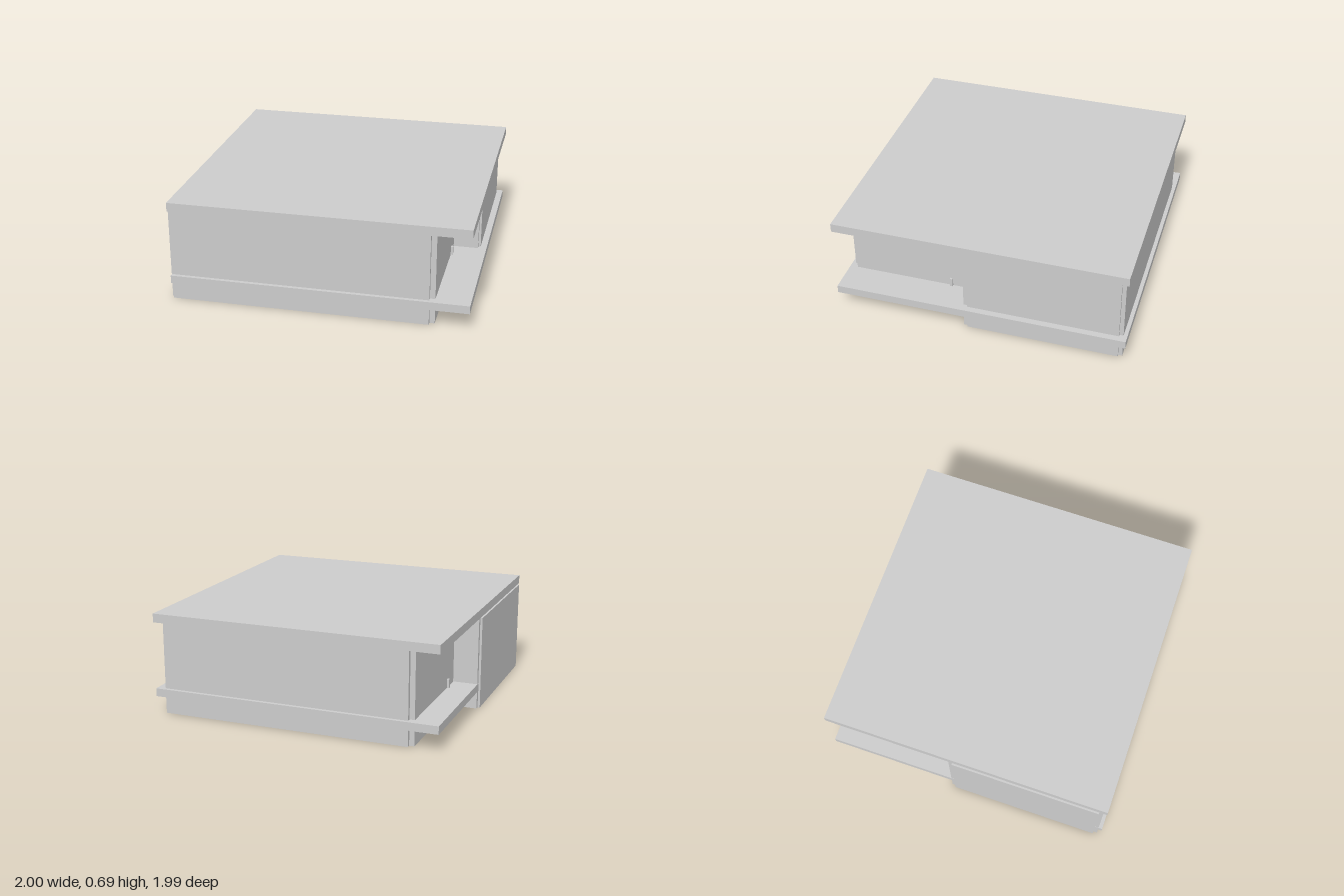
import * as THREE from 'three';

const material = new THREE.MeshStandardMaterial({ color: 0xcccccc, flatShading: true });

// Box given by its min and max on each axis
function block(name, x0, x1, y0, y1, z0, z1) {
  const mesh = new THREE.Mesh(new THREE.BoxGeometry(x1 - x0, y1 - y0, z1 - z0), material);
  mesh.position.set((x0 + x1) / 2, (y0 + y1) / 2, (z0 + z1) / 2);
  mesh.name = name;
  return mesh;
}

// Thin upright strip following a plan path of [x, z] points
function strip(name, path, y0, y1, thickness = 0.015) {
  const group = new THREE.Group();
  group.name = name;
  for (let i = 1; i < path.length; i++) {
    const [ax, az] = path[i - 1], [bx, bz] = path[i];
    const length = Math.hypot(bx - ax, bz - az);
    const mesh = new THREE.Mesh(new THREE.BoxGeometry(length + thickness * 0.8, y1 - y0, thickness), material);
    mesh.position.set((ax + bx) / 2, (y0 + y1) / 2, (az + bz) / 2);
    mesh.rotation.y = -Math.atan2(bz - az, bx - ax);
    mesh.name = name + 'Segment';
    group.add(mesh);
  }
  return group;
}

// Half of the outer walls; the other half is the same turned by 180 degrees
function wallHalf() {
  const half = new THREE.Group();
  half.name = 'outerWalls';
  const H = 0.635;
  half.add(
    block('endWall', -0.985, 0.735, 0, H, 0.94, 0.967),
    block('recessedWall', 0.735, 0.77, 0, H, 0.085, 0.94),
    block('returnWall', 0.77, 0.94, 0, H, 0.085, 0.115),
    block('sideWall', 0.925, 0.955, 0, H, -0.94, 0.087),
    block('peg', 0.765, 0.785, 0.17, 0.235, 0.245, 0.263)
  );
  return half;
}

// Half of the ribs hanging beneath the floor
function ribHalf() {
  const half = new THREE.Group();
  half.name = 'floorRibs';
  const paths = {
    channelRib: [[0.55, 0.1], [0.55, 0.48], [0.33, 0.48], [0.33, 0.2]],
    channelTab: [[0.33, 0.34], [0.24, 0.34], [0.24, 0.38]],
    cornerRib: [[0.55, -0.32], [0.3, -0.32], [0.3, 0.02]],
    smallRib: [[0.54, -0.13], [0.48, -0.13], [0.48, 0.04]],
    outerCornerBracket: [[0.62, -0.95], [0.62, -0.84], [0.74, -0.8], [0.82, -0.66], [0.93, -0.6]],
    recessCornerBracket: [[0.74, 0.62], [0.62, 0.66], [0.54, 0.79], [0.42, 0.82], [0.42, 0.94]]
  };
  for (const [name, path] of Object.entries(paths)) half.add(strip(name, path, 0, 0.13));
  return half;
}

export function createModel() {
  const model = new THREE.Group();
  model.name = 'flatRoofedBox';

  // Floor and roof slabs
  model.add(
    block('floorSlab', -0.987, 0.998, 0.12, 0.175, -0.993, 0.993),
    block('roofSlab', -0.987, 0.998, 0.635, 0.695, -0.993, 0.993)
  );

  // Walls and ribs, repeated by a half turn
  for (const [make, shift] of [[wallHalf, -0.045], [ribHalf, 0]]) {
    const turned = make();
    turned.rotation.y = Math.PI;
    turned.position.x = shift;
    model.add(make(), turned);
  }
  return model;
}
